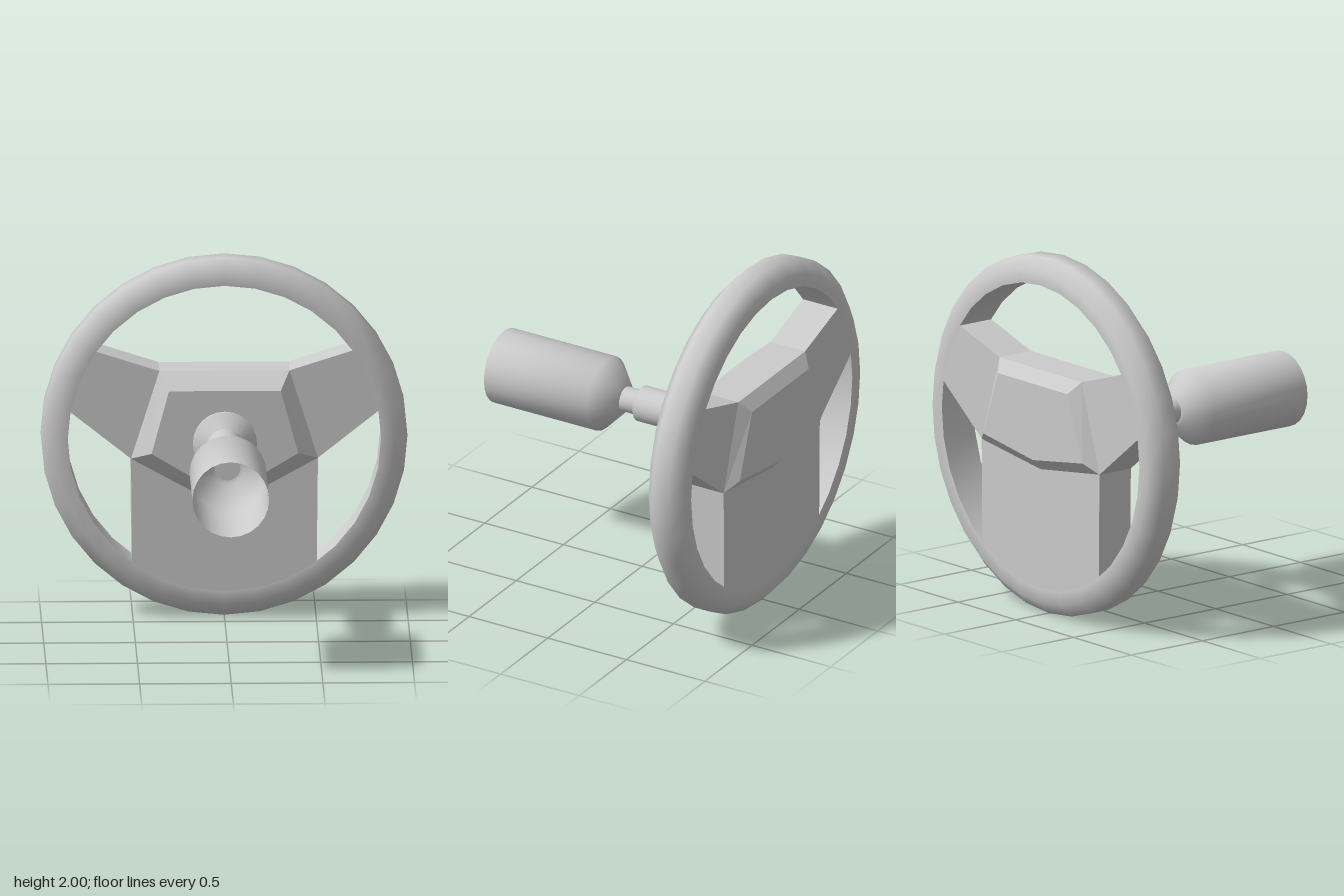
import * as THREE from 'three';
import { toCreasedNormals } from 'three/addons/utils/BufferGeometryUtils.js';

const material = new THREE.MeshStandardMaterial({ color: 0xcccccc, side: THREE.DoubleSide });
const RIM_Z = -0.715;

function part(name, geometry) {
  const mesh = new THREE.Mesh(geometry, material);
  mesh.name = name;
  return mesh;
}

// Revolve [radius, z] points about the z axis
function turned(profile, segments, crease) {
  const points = profile.map(([r, z]) => new THREE.Vector2(r, z));
  return toCreasedNormals(new THREE.LatheGeometry(points, segments).rotateX(Math.PI / 2), crease);
}

// Bevelled pad: flat cap outline at capZ, sloping sides out to the base outline at baseZ
function pad(base, cap, baseZ, capZ) {
  const n = base.length;
  const pos = [];
  const b = base.map(([x, y]) => [x, y, baseZ]);
  const c = cap.map(([x, y]) => [x, y, capZ]);
  const tri = (p, q, r) => pos.push(...p, ...(capZ > baseZ ? [...q, ...r] : [...r, ...q]));
  for (let i = 0; i < n; i++) {
    const j = (i + 1) % n;
    tri(b[i], b[j], c[j]);
    tri(b[i], c[j], c[i]);
    if (i > 0 && i < n - 1) tri(c[0], c[i], c[i + 1]);
  }
  const geometry = new THREE.BufferGeometry();
  geometry.setAttribute('position', new THREE.Float32BufferAttribute(pos, 3));
  geometry.computeVertexNormals();
  return geometry;
}

// Five-cornered symmetric outline, counter-clockwise
const pentagon = (topX, topY, sideX, sideY, bottomY) =>
  [[0, bottomY], [sideX, sideY], [topX, topY], [-topX, topY], [-sideX, sideY]];

// Three-spoke plate, its ends buried slightly in the rim
function spokePlate() {
  const points = [];
  const arc = (from, to, steps) => {
    for (let i = 0; i <= steps; i++) {
      const a = from + (to - from) * i / steps;
      points.push(new THREE.Vector2(0.9 * Math.cos(a), 1 + 0.9 * Math.sin(a)));
    }
  };
  const low = Math.atan2(0.175, 0.84);
  const high = Math.atan2(0.48, 0.71);
  const foot = Math.atan2(-0.7, 0.472);
  arc(low, high, 3);
  points.push(new THREE.Vector2(0.355, 1.38), new THREE.Vector2(-0.355, 1.38));
  arc(Math.PI - high, Math.PI - low, 3);
  points.push(new THREE.Vector2(-0.51, 0.89));
  arc(-Math.PI - foot, foot, 6);
  points.push(new THREE.Vector2(0.51, 0.89));
  return new THREE.ExtrudeGeometry(new THREE.Shape(points), { depth: 0.22, bevelEnabled: false })
    .translate(0, 0, RIM_Z - 0.11);
}

export function createModel() {
  const group = new THREE.Group();
  group.name = 'steeringWheel';

  // Rim: wide flat inner wall, rounded outside
  const rim = turned([
    [0.855, -0.11], [0.93, -0.115], [1, -0.052], [1, 0.052],
    [0.93, 0.115], [0.855, 0.11], [0.855, -0.11],
  ], 32, 1.05);
  rim.translate(0, 1, RIM_Z);
  group.add(part('rim', rim));

  group.add(part('spokes', spokePlate()));

  // Hub pads on both faces of the plate
  group.add(part('hubFront', pad(
    pentagon(0.355, 1.38, 0.51, 0.89, 0.61), pentagon(0.305, 1.29, 0.4, 0.94, 0.7), -0.605, -0.5)));
  group.add(part('hornPad', pad(
    pentagon(0.355, 1.38, 0.51, 0.89, 0.82), pentagon(0.3, 1.31, 0.43, 0.945, 0.88), -0.825, -0.88)));

  // Steering shaft with flared collar and narrow neck
  const shaft = turned([
    [0.175, -0.505], [0.175, -0.475], [0.1, -0.41], [0.1, 0],
    [0.07, 0.02], [0.07, 0.11], [0, 0.11],
  ], 24, 0.6);
  shaft.translate(0, 1, 0);
  group.add(part('shaft', shaft));

  // Thin sleeve, open at the far end
  const sleeve = turned([[0.07, 0.105], [0.09, 0.11], [0.21, 0.225], [0.21, 0.88]], 24, 0.9);
  sleeve.translate(0, 1, 0);
  group.add(part('columnSleeve', sleeve));

  return group;
}
